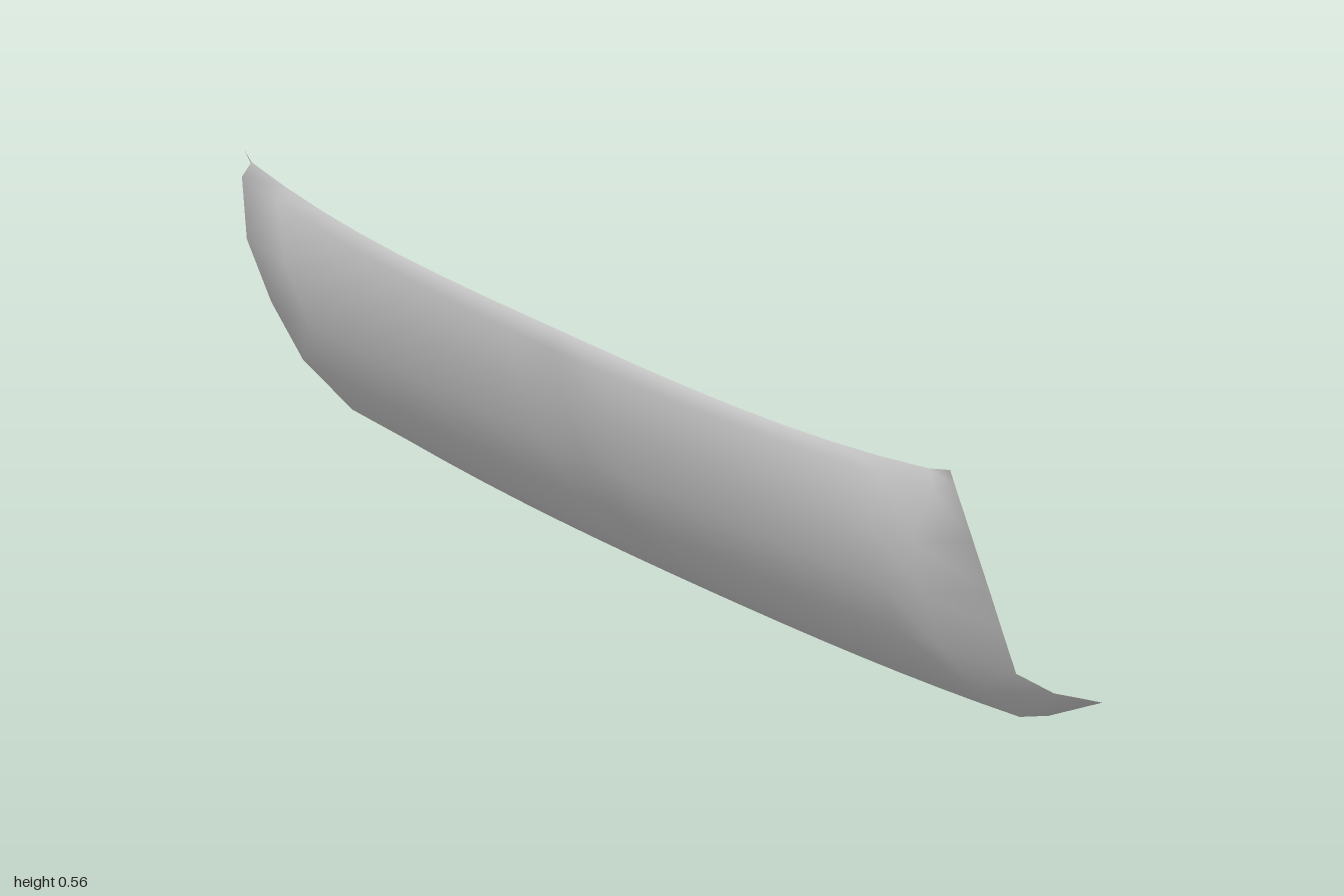
import * as THREE from 'three';

// Each row runs across the panel, from the top lip to the rear lower edge.
// centre: [y, z]; fold and rim: [x, y, z] on the +x end
const rows = [
  { centre: [0.54, 0.21], fold: [0.96, 0.555, 0.15], rim: [1, 0.56, 0.135], dip: 0.04 },
  { centre: [0.51, 0.225], fold: [0.98, 0.525, 0.155], rim: [0.995, 0.53, 0.122] },
  { centre: [0.41, 0.2], fold: [0.945, 0.43, 0.17], rim: [0.977, 0.42, 0.073] },
  { centre: [0.31, 0.162], fold: [0.925, 0.32, 0.135], rim: [0.96, 0.32, 0.028] },
  { centre: [0.205, 0.1], fold: [0.905, 0.215, 0.085], rim: [0.945, 0.24, -0.008] },
  { centre: [0.113, 0.02], fold: [0.885, 0.118, 0], rim: [0.93, 0.153, -0.047] },
  { centre: [0.037, -0.08], fold: [0.865, 0.05, -0.1], rim: [0.92, 0.1, -0.13] },
  { centre: [0, -0.18], fold: [0.82, 0.022, -0.19], rim: [0.92, 0.075, -0.2] },
  { centre: [0.015, -0.21], fold: [0.8, 0.032, -0.224], rim: [0.915, 0.063, -0.23] },
];

// Point on a row: bowed between the folds, then the return flange
function rowPoint({ centre, fold, rim, dip = 0 }, column, half) {
  const side = Math.sign(column);
  const t = Math.abs(column) / half;
  if (t > 1) return [side * rim[0], rim[1], rim[2]];
  const y = centre[0] + (fold[1] - centre[0]) * t ** 3 - dip * t * t * (1 - t);
  const z = centre[1] + (fold[2] - centre[1]) * t ** 2;
  return [side * fold[0] * t, y, z];
}

function panelGeometry(half) {
  const positions = [], indices = [];
  const count = 2 * (half + 1) + 1;
  rows.forEach((row, r) => {
    for (let c = -half - 1; c <= half + 1; c++) positions.push(...rowPoint(row, c, half));
    if (r === rows.length - 1) return;
    for (let c = 0; c < count - 1; c++) {
      const a = r * count + c, b = a + count;
      // mirrored diagonals keep both ends alike
      if (c < count / 2 - 1) indices.push(a, b, a + 1, a + 1, b, b + 1);
      else indices.push(a, b, b + 1, a, b + 1, a + 1);
    }
  });
  const geometry = new THREE.BufferGeometry();
  geometry.setAttribute('position', new THREE.Float32BufferAttribute(positions, 3));
  geometry.setIndex(indices);
  geometry.computeVertexNormals();
  return geometry;
}

export function createModel() {
  const group = new THREE.Group();
  group.name = 'curvedPanel';
  const material = new THREE.MeshStandardMaterial({ color: 0xcccccc, side: THREE.DoubleSide });
  const panel = new THREE.Mesh(panelGeometry(8), material);
  panel.name = 'panelShell';
  group.add(panel);
  return group;
}
